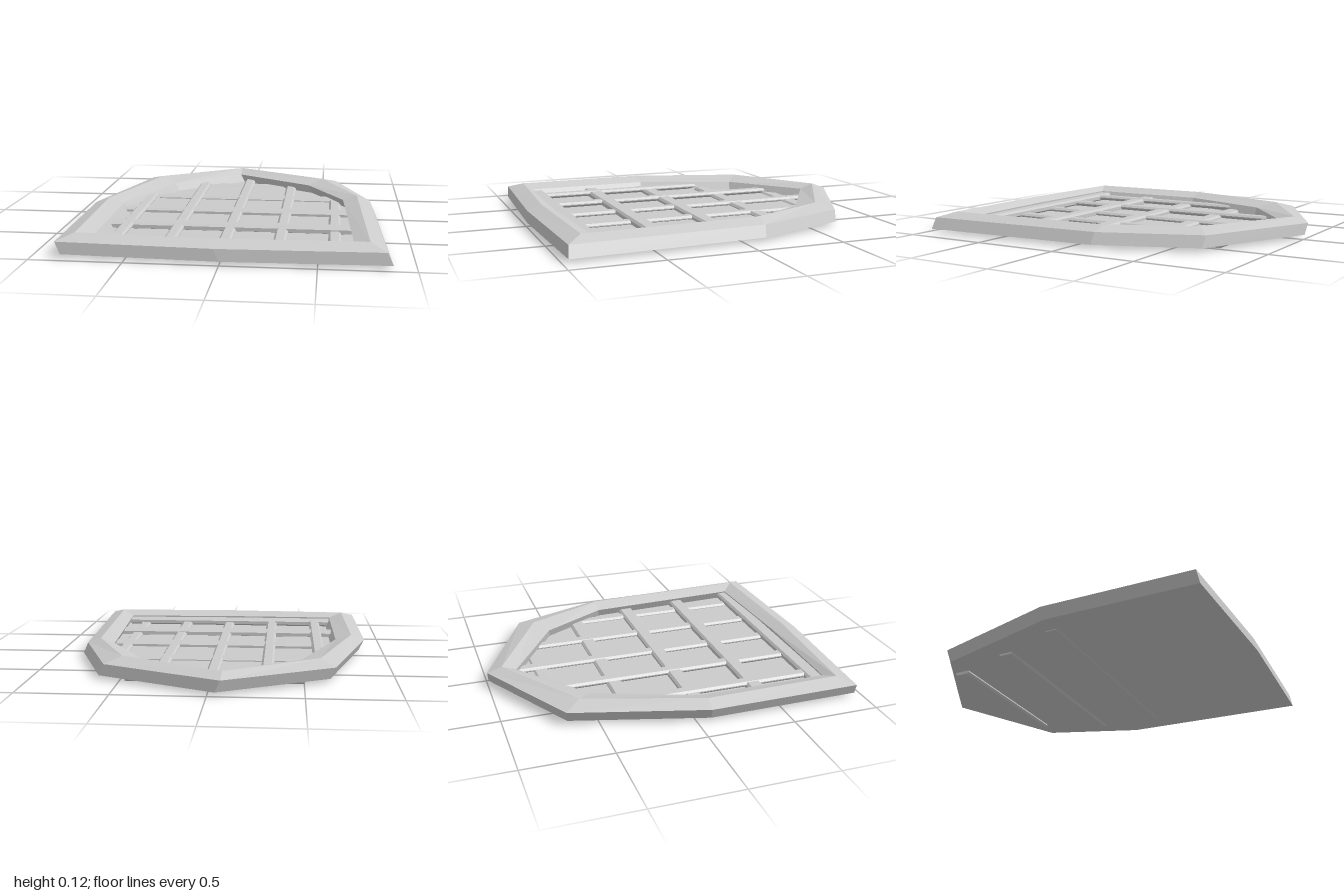
import * as THREE from 'three';

const material = new THREE.MeshStandardMaterial({ color: 0xcccccc, flatShading: true });

// Corner outlines as [x, z], starting at the pointed end and running round by +x
const shoulder = [[-0.07, -1], [0.59, -0.69], [0.8, -0.135], [0.85, 0.96], [-0.03, 0.985], [-0.87, 0.945], [-0.88, 0.07], [-0.67, -0.675]];
const ridge = [[-0.075, -0.915], [0.5, -0.61], [0.72, -0.14], [0.765, 0.875], [-0.02, 0.9], [-0.785, 0.86], [-0.8, 0.075], [-0.59, -0.585]];
const lip = [[-0.075, -0.83], [0.41, -0.53], [0.635, -0.14], [0.685, 0.8], [-0.01, 0.83], [-0.7, 0.82], [-0.705, 0.07], [-0.49, -0.5]];

const ring = (pts, y, dx = 0, dz = 0) => pts.map(([x, z]) => [x + dx, y, z + dz]);

function meshFrom(name, triangles) {
  const g = new THREE.BufferGeometry();
  g.setAttribute('position', new THREE.Float32BufferAttribute(triangles.flat(), 3));
  g.computeVertexNormals();
  const mesh = new THREE.Mesh(g, material);
  mesh.name = name;
  return mesh;
}

// Band of quads between successive rings
function loft(rings) {
  const out = [];
  for (let k = 0; k < rings.length - 1; k++) {
    const a = rings[k], b = rings[k + 1];
    a.forEach((p, i) => {
      const j = (i + 1) % a.length;
      out.push(p, b[i], a[j], a[j], b[i], b[j]);
    });
  }
  return out;
}

// Flat fan closing a ring
function cap(r, up) {
  const centre = [0, r[0][1], 0];
  return r.flatMap((p, i) => {
    const q = r[(i + 1) % r.length];
    return up ? [centre, q, p] : [centre, p, q];
  });
}

// Bar along x with bevelled edges, centred on the origin
function barGeometry(length, width, height) {
  const w = width / 2, h = height / 2, c = 0.012;
  const s = new THREE.Shape([
    [-w, -h + c], [-w + c, -h], [w - c, -h], [w, -h + c],
    [w, h - c], [w - c, h], [-w + c, h], [-w, h - c],
  ].map(([x, y]) => new THREE.Vector2(x, y)));
  return new THREE.ExtrudeGeometry(s, { depth: length, bevelEnabled: false })
    .translate(0, 0, -length / 2).rotateY(Math.PI / 2);
}

export function createModel() {
  const model = new THREE.Group();
  model.name = 'latticeWindow';

  // Surround: leaning outer wall, bevelled top and inner reveal
  const base = ring(shoulder, 0.02, 0.03, 0.008);
  const floor = ring(lip, 0.035, 0.025, 0.005);
  model.add(meshFrom('frame', loft([
    base, ring(shoulder, 0.085), ring(ridge, 0.115), ring(lip, 0.085), floor,
  ])));
  model.add(meshFrom('backPlate', cap(base, false)));
  model.add(meshFrom('pane', cap(floor, true)));

  const lattice = new THREE.Group();
  lattice.name = 'lattice';
  model.add(lattice);

  // Cross bars rise towards the front: z, x start, x end, top height
  for (const [z, x0, x1, top] of [
    [-0.68, -0.5, 0.47, 0.045],
    [-0.315, -0.6, 0.65, 0.053],
    [0.055, -0.73, 0.69, 0.061],
    [0.425, -0.71, 0.69, 0.069],
    [0.79, -0.705, 0.69, 0.077],
  ]) {
    const bar = new THREE.Mesh(barGeometry(x1 - x0, 0.09, 0.045), material);
    bar.position.set((x0 + x1) / 2, top - 0.0225, z);
    bar.name = 'crossBar';
    lattice.add(bar);
  }

  // Upright bars sink towards the right: x, z start, top height
  for (const [x, z0, top] of [
    [-0.592, -0.3, 0.072],
    [-0.3, -0.7, 0.065],
    [-0.005, -0.84, 0.058],
    [0.29, -0.66, 0.056],
    [0.585, -0.33, 0.051],
  ]) {
    const bar = new THREE.Mesh(barGeometry(0.8 - z0, 0.07, 0.03), material);
    bar.rotation.y = Math.PI / 2;
    bar.position.set(x, top - 0.015, (z0 + 0.8) / 2);
    bar.name = 'uprightBar';
    lattice.add(bar);
  }
  return model;
}
